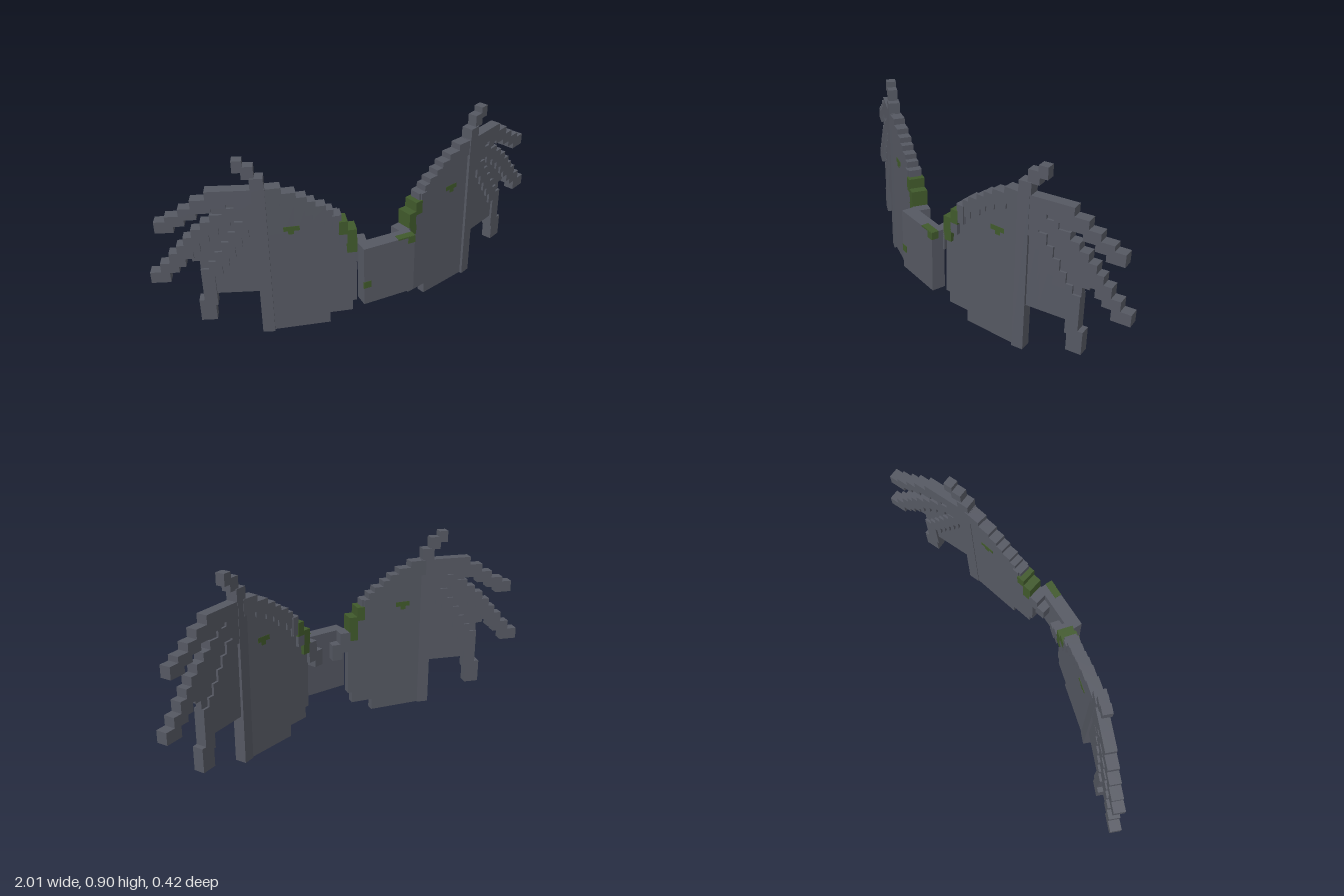
import * as THREE from 'three';

const stone = new THREE.MeshStandardMaterial({ color: 0x555862 });
stone.name = 'slate grey';
const moss = new THREE.MeshStandardMaterial({ color: 0x40592b });
moss.name = 'moss green';

// Each wing has two flat panels: z of the panel centre line and its turn about y
const inner = { x: 0.25, z: 0.085, angle: Math.atan(0.265) };
const outer = { x: 0.53, z: 0.012, angle: Math.PI / 8 };

// Block in a panel, given by its extents as seen from the front
function block(parent, side, panel, name, [x0, x1, y0, y1], depth, material = stone) {
  const x = (x0 + x1) / 2;
  const mesh = new THREE.Mesh(
    new THREE.BoxGeometry((x1 - x0) / Math.cos(panel.angle), y1 - y0, depth), material);
  mesh.position.set(side * x, (y0 + y1) / 2, panel.z - (x - panel.x) * Math.tan(panel.angle));
  mesh.rotation.y = side * panel.angle;
  mesh.name = name;
  parent.add(mesh);
}

// Blocks stepping along a finger: [x0, x1, y0, y1]
const fingers = {
  upperFinger: [
    [0.55, 0.68, 0.70, 0.765], [0.66, 0.74, 0.68, 0.765], [0.72, 0.80, 0.66, 0.725],
    [0.78, 0.85, 0.63, 0.685], [0.83, 0.905, 0.60, 0.65], [0.875, 0.95, 0.57, 0.625],
  ],
  middleFinger: [
    [0.55, 0.63, 0.65, 0.71], [0.60, 0.68, 0.62, 0.68], [0.65, 0.73, 0.585, 0.65],
    [0.70, 0.77, 0.55, 0.615], [0.74, 0.81, 0.51, 0.58], [0.78, 0.845, 0.465, 0.54],
    [0.81, 0.875, 0.43, 0.50], [0.845, 0.91, 0.39, 0.46], [0.875, 0.95, 0.36, 0.41],
    [0.915, 0.995, 0.31, 0.365],
  ],
  lowerFinger: [
    [0.55, 0.60, 0.58, 0.65], [0.58, 0.635, 0.53, 0.61], [0.61, 0.665, 0.48, 0.56],
    [0.64, 0.695, 0.43, 0.51], [0.67, 0.725, 0.385, 0.46], [0.70, 0.755, 0.33, 0.41],
    [0.735, 0.79, 0.17, 0.37], [0.745, 0.812, 0.087, 0.20],
  ],
};

// Leading edge of the inner panel: [x0, x1, bottom, top]
const leadingEdge = [
  [0.19, 0.235, 0.51, 0.60], [0.225, 0.265, 0.55, 0.63], [0.255, 0.315, 0.585, 0.655],
  [0.30, 0.345, 0.615, 0.682], [0.335, 0.39, 0.64, 0.708], [0.38, 0.45, 0.665, 0.735],
  [0.44, 0.52, 0.69, 0.765],
];

function buildWing(side) {
  const wing = new THREE.Group();
  wing.name = side > 0 ? 'leftWing' : 'rightWing';
  const add = (panel, name, box, depth, material) =>
    block(wing, side, panel, name, box, depth, material);

  // Inner membrane with stepped lower corner
  add(inner, 'innerMembrane', [0.25, 0.515, 0.003, 0.06], 0.04);
  add(inner, 'innerMembrane', [0.145, 0.515, 0.06, 0.115], 0.04);
  add(inner, 'innerMembrane', [0.125, 0.515, 0.115, 0.42], 0.04);
  add(inner, 'innerMembrane', [0.17, 0.515, 0.42, 0.53], 0.04);
  for (const [x0, x1, y0, y1] of leadingEdge) {
    add(inner, 'innerMembrane', [x0, x1, 0.5, (y0 + y1) / 2], 0.04);
    add(inner, 'leadingEdge', [x0, x1, y0, y1], 0.056);
  }

  // Root blocks stepping down behind the centre plate
  add(inner, 'root', [0.04, 0.09, 0.31, 0.39], 0.075);
  add(inner, 'root', [0.08, 0.13, 0.345, 0.445], 0.075);
  add(inner, 'mossyRoot', [0.125, 0.168, 0.40, 0.52], 0.075, moss);
  add(inner, 'root', [0.165, 0.203, 0.45, 0.50], 0.075);
  add(inner, 'mossyRoot', [0.165, 0.203, 0.50, 0.567], 0.075, moss);
  add(inner, 'root', [0.20, 0.232, 0.51, 0.60], 0.07);

  // Moss patch showing on both faces of the membrane
  add(inner, 'mossPatch', [0.37, 0.44, 0.54, 0.563], 0.043, moss);
  add(inner, 'mossPatch', [0.395, 0.42, 0.523, 0.54], 0.043, moss);

  // Upright arm and hooked thumb
  add(outer, 'arm', [0.505, 0.557, 0.0, 0.767], 0.056);
  add(outer, 'thumb', [0.508, 0.562, 0.76, 0.82], 0.056);
  add(outer, 'thumb', [0.543, 0.592, 0.815, 0.875], 0.045);
  add(outer, 'thumb', [0.585, 0.625, 0.848, 0.903], 0.045);

  // Fingers
  for (const [name, boxes] of Object.entries(fingers))
    for (const box of boxes) add(outer, name, box, 0.052);

  // Outer membrane: columns between the lower finger and hem, webs between fingers
  for (const [x0, x1, , y1] of fingers.lowerFinger.slice(0, 7))
    add(outer, 'outerMembrane', [x0, x1, 0.23, y1 - 0.03], 0.03);
  const web = [
    [0.55, 0.62, 0.56, 0.73], [0.61, 0.67, 0.49, 0.72], [0.66, 0.72, 0.42, 0.70],
    [0.71, 0.755, 0.36, 0.58], [0.75, 0.79, 0.34, 0.53], [0.785, 0.82, 0.41, 0.49],
  ];
  for (const box of web) add(outer, 'fingerWeb', box, 0.03);
  return wing;
}

export function createModel() {
  const model = new THREE.Group();
  model.name = 'wings';
  model.add(buildWing(1), buildWing(-1));

  const box = (name, x0, x1, y0, y1, z0, z1, material) => {
    const mesh = new THREE.Mesh(new THREE.BoxGeometry(x1 - x0, y1 - y0, z1 - z0), material);
    mesh.position.set((x0 + x1) / 2, (y0 + y1) / 2, (z0 + z1) / 2);
    mesh.name = name;
    model.add(mesh);
  };

  // Centre plate joining the wings, with moss on its corner and face
  box('centrePlate', -0.13, 0.13, 0.14, 0.445, 0.147, 0.214, stone);
  box('platePatch', -0.131, -0.095, 0.23, 0.265, 0.209, 0.216, moss);
  box('platePatch', 0.095, 0.132, 0.41, 0.446, 0.18, 0.216, moss);
  box('platePatch', 0.045, 0.131, 0.44, 0.447, 0.18, 0.2145, moss);
  return model;
}
